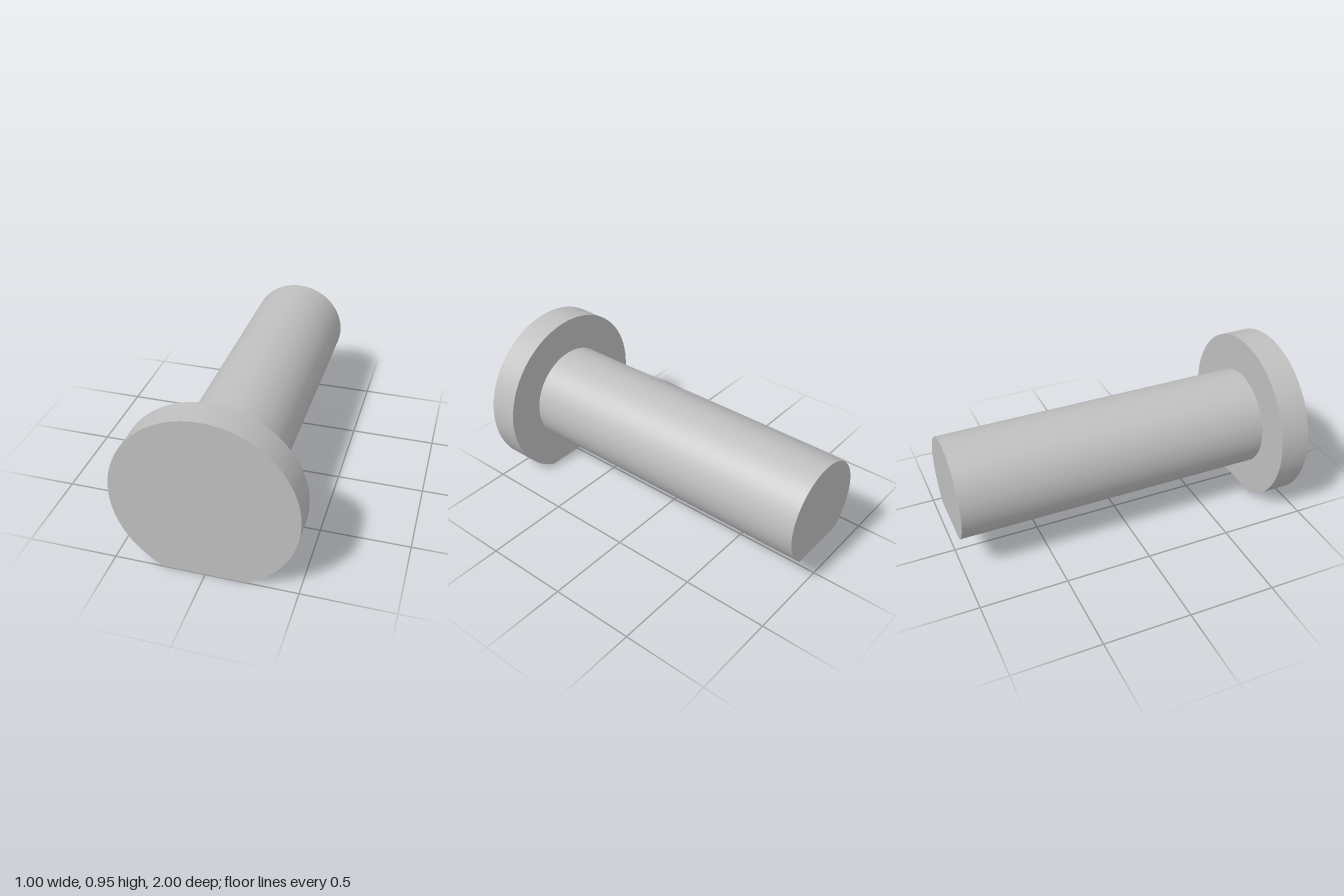
import * as THREE from 'three';
import { toCreasedNormals } from 'three/addons/utils/BufferGeometryUtils.js';

const AXIS_Y = 0.449;

// Round bar along z with a flat cut along its underside
function flattedBar(name, radius, flatY, zBack, zFront, material) {
  const start = Math.asin((flatY - AXIS_Y) / radius);
  const shape = new THREE.Shape();
  shape.absarc(0, AXIS_Y, radius, start, Math.PI - start, false);
  shape.closePath();
  const geometry = new THREE.ExtrudeGeometry(shape, {
    depth: zFront - zBack,
    bevelEnabled: false,
    curveSegments: 96,
  });
  geometry.translate(0, 0, zBack);
  const mesh = new THREE.Mesh(toCreasedNormals(geometry, 0.4), material);
  mesh.name = name;
  return mesh;
}

export function createModel() {
  const steel = new THREE.MeshStandardMaterial({ color: 0xbfbfbf });
  steel.name = 'steel grey';

  const pin = new THREE.Group();
  pin.name = 'headedPin';
  pin.add(
    flattedBar('head', 0.501, 0, 0.828, 1, steel),
    flattedBar('shaft', 0.289, 0.22, -1, 0.828, steel),
  );
  return pin;
}
